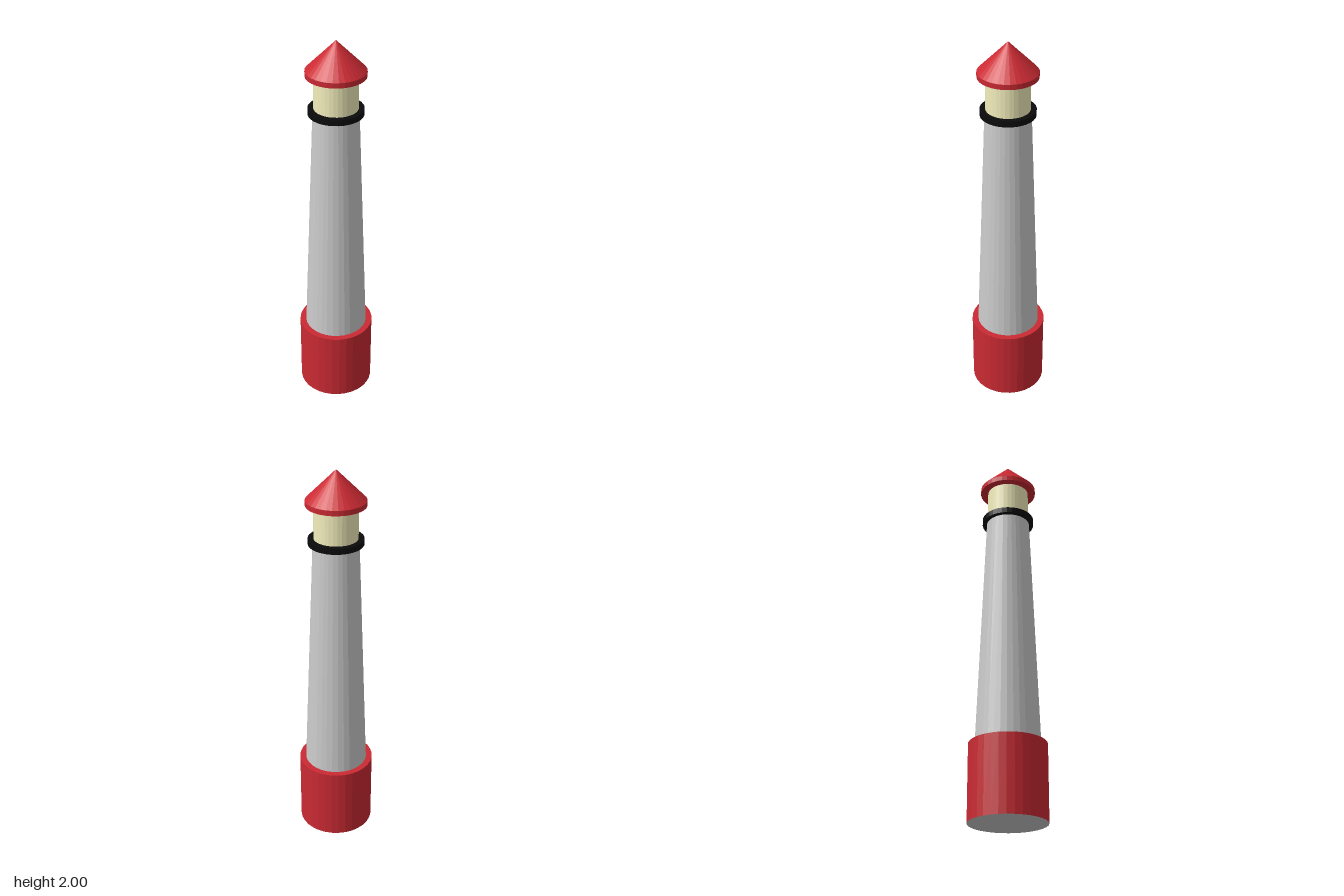
import * as THREE from 'three';

const SIDES = 32;
const material = (color) => new THREE.MeshStandardMaterial({ color, flatShading: true });

export function createModel() {
  const model = new THREE.Group();
  const grey = material(0xcccccc);
  const red = material(0xcb2a33);
  const black = material(0x0b0b0b);
  const cream = material(0xf3efbd);

  // Upright round section between two heights
  const section = (name, rTop, rBottom, y0, y1, mat) => {
    const mesh = new THREE.Mesh(new THREE.CylinderGeometry(rTop, rBottom, y1 - y0, SIDES), mat);
    mesh.name = name;
    mesh.position.y = (y0 + y1) / 2;
    model.add(mesh);
  };

  // Red base with a grey underside (side, top, bottom)
  section('base', 0.195, 0.195, 0, 0.39, [red, red, grey]);

  // Tapering tower
  section('tower', 0.114, 0.163, 0.39, 1.63, grey);

  // Gallery ring and lantern room
  section('gallery', 0.137, 0.137, 1.63, 1.66, black);
  section('lanternRoom', 0.109, 0.109, 1.66, 1.826, cream);

  // Roof with its eave
  section('roofEave', 0.148, 0.148, 1.826, 1.852, red);
  const roof = new THREE.Mesh(new THREE.ConeGeometry(0.148, 0.148, SIDES, 1, true), red);
  roof.name = 'roof';
  roof.position.y = 1.926;
  model.add(roof);

  return model;
}
